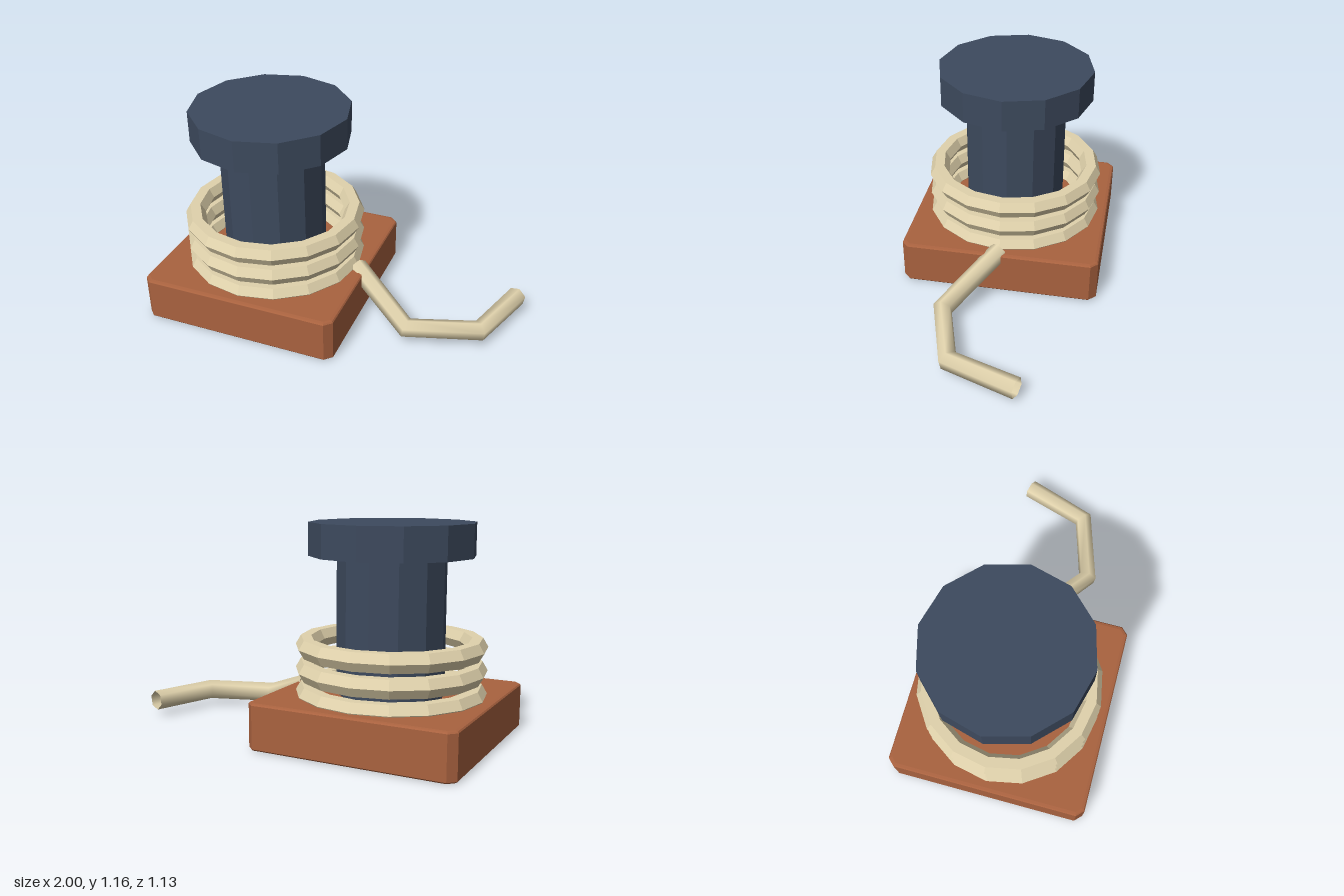
import * as THREE from 'three';

const CX = -0.437; // shared axis of base, post and coils

const paint = (color, flatShading = true) =>
  new THREE.MeshStandardMaterial({ color, flatShading, side: THREE.DoubleSide });

// Curve that runs straight between its points, one tube segment per span
class Polyline extends THREE.Curve {
  constructor(points) {
    super();
    this.points = points;
  }
  getPointAt(t) {
    const n = this.points.length - 1;
    return this.points[Math.round(t * n)].clone();
  }
  getTangentAt(t) {
    const p = this.points, n = p.length - 1, i = Math.round(t * n);
    const dir = (a) => p[a + 1].clone().sub(p[a]).normalize();
    if (i === 0) return dir(0);
    if (i === n) return dir(n - 1);
    return dir(i - 1).add(dir(i)).normalize();
  }
}

export function createModel() {
  const model = new THREE.Group();
  const clay = paint(0xa9623f);
  const slate = paint(0x3d4a5e);
  const rope = paint(0xe0d2ac);
  const ropeSmooth = paint(0xe0d2ac, false);

  const add = (name, geometry, material, x, y) => {
    const mesh = new THREE.Mesh(geometry, material);
    mesh.name = name;
    mesh.position.set(x, y, 0);
    model.add(mesh);
    return mesh;
  };

  // Square base with clipped corners and a thin bevel
  const bevel = 0.02, lift = 0.01, h = 0.563 - bevel, c = h - 0.028;
  const outline = new THREE.Shape(
    [[h, -c], [h, c], [c, h], [-c, h], [-h, c], [-h, -c], [-c, -h], [c, -h]]
      .map(([x, y]) => new THREE.Vector2(x, y)));
  const base = new THREE.ExtrudeGeometry(outline, {
    depth: 0.25 - 2 * lift, bevelSize: bevel, bevelThickness: lift, bevelSegments: 2,
  });
  base.rotateX(-Math.PI / 2);
  add('base', base, clay, CX, lift);

  // Post with its wider head
  add('post', new THREE.CylinderGeometry(0.29, 0.29, 0.78, 12), slate, CX, 0.6);
  add('postHead', new THREE.CylinderGeometry(0.44, 0.44, 0.175, 12), slate, CX, 1.068);

  // Rope coils, loose around the post
  for (let i = 0; i < 3; i++) {
    const ring = new THREE.TorusGeometry(0.453, 0.056, 6, 16).rotateX(Math.PI / 2);
    add('ropeCoil' + (i + 1), ring, rope, CX, 0.255 + i * 0.125);
  }

  // Loose rope end, open at both ends
  const path = new Polyline([
    new THREE.Vector3(0.065, 0.24, 0),
    new THREE.Vector3(0.44, 0.091, 0.245),
    new THREE.Vector3(0.82, 0.091, 0.125),
    new THREE.Vector3(0.945, 0.091, -0.253),
  ]);
  add('ropeTail', new THREE.TubeGeometry(path, 3, 0.056, 6), ropeSmooth, 0, 0);

  return model;
}
